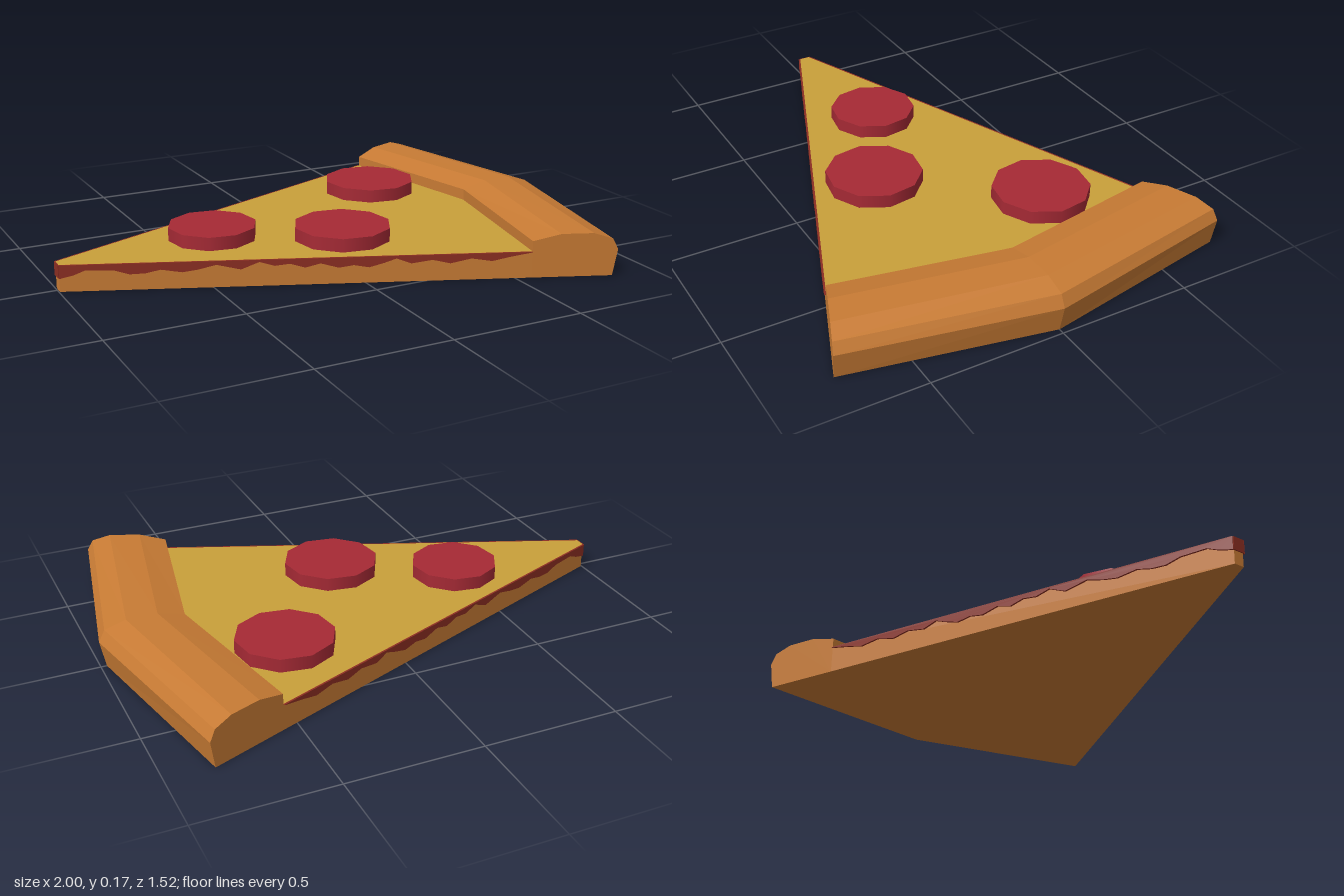
import * as THREE from 'three';

const mat = (name, color, extra = {}) => {
  const m = new THREE.MeshStandardMaterial({ color, ...extra });
  m.name = name;
  return m;
};

const TIP_X = -0.996, TIP_Z = 0.02, SLOPE = 0.402;
const ANGLE = Math.atan(SLOPE);
const sideZ = (x) => TIP_Z + SLOPE * (x - TIP_X); // half width of the slice at x

export function createModel() {
  const crustMat = mat('bakedCrust', 0xc87b34);
  const cheeseMat = mat('cheese', 0xc9a03a);
  const sauceMat = mat('tomatoSauce', 0x8c2e22);
  const pepperoniMat = mat('pepperoni', 0xa62a35);

  const group = new THREE.Group();
  const add = (name, geometry, material) => {
    const mesh = new THREE.Mesh(geometry, material);
    mesh.name = name;
    group.add(mesh);
    return mesh;
  };

  // Slice outline: blunt tip, straight sides, bent edge where the crust begins
  const innerX = 0.555, innerMidX = 0.68;
  const outline = new THREE.Shape([
    [TIP_X, -TIP_Z], [innerX, -sideZ(innerX)], [innerMidX, 0],
    [innerX, sideZ(innerX)], [TIP_X, TIP_Z],
  ].map(([x, y]) => new THREE.Vector2(x, y)));

  // Dough and the cheese sheet on top
  add('doughBase', new THREE.ExtrudeGeometry(outline, { depth: 0.098, bevelEnabled: false })
    .rotateX(-Math.PI / 2), crustMat);
  add('cheeseTop', new THREE.ShapeGeometry(outline)
    .rotateX(-Math.PI / 2).translate(0, 0.1, 0), cheeseMat);

  // Crust: one profile at each end and one in the middle, joined with flat faces
  const endProfile = [[innerX, 0], [innerX, 0.138], [0.65, 0.162], [0.76, 0.162],
    [0.825, 0.14], [0.845, 0.1], [0.83, 0]];
  const midProfile = [[innerMidX, 0], [innerMidX, 0.143], [0.78, 0.168], [0.895, 0.168],
    [0.975, 0.145], [0.998, 0.1], [0.978, 0]];
  const sections = [
    endProfile.map(([x, y]) => [x, y, -sideZ(x)]),
    midProfile.map(([x, y]) => [x, y, 0]),
    endProfile.map(([x, y]) => [x, y, sideZ(x)]),
  ];
  const pos = [];
  const tri = (a, b, c) => pos.push(...a, ...b, ...c);
  const n = endProfile.length;
  for (let s = 0; s < 2; s++) {
    for (let i = 0; i < n; i++) {
      const j = (i + 1) % n;
      const a = sections[s][i], b = sections[s][j];
      const c = sections[s + 1][j], d = sections[s + 1][i];
      tri(a, d, c);
      tri(a, c, b);
    }
  }
  for (let i = 1; i < n - 1; i++) {
    tri(sections[0][0], sections[0][i], sections[0][i + 1]);
    tri(sections[2][0], sections[2][i + 1], sections[2][i]);
  }
  const crustGeo = new THREE.BufferGeometry();
  crustGeo.setAttribute('position', new THREE.Float32BufferAttribute(pos, 3));
  crustGeo.computeVertexNormals();
  add('crust', crustGeo, crustMat);

  // Sauce dripping down both cut sides: [x, lower edge height]
  const drips = [[-0.996, 0.05], [-0.95, 0.062], [-0.91, 0.08], [-0.82, 0.076], [-0.77, 0.06],
    [-0.72, 0.062], [-0.67, 0.074], [-0.6, 0.062], [-0.55, 0.07], [-0.49, 0.086], [-0.41, 0.066],
    [-0.35, 0.092], [-0.3, 0.076], [-0.25, 0.082], [-0.2, 0.066], [-0.15, 0.08], [-0.09, 0.062],
    [-0.04, 0.07], [0.01, 0.06], [0.06, 0.075], [0.1, 0.09], [0.15, 0.07], [0.22, 0.081],
    [0.28, 0.066], [0.35, 0.082], [0.42, 0.07], [0.48, 0.084], [innerX, 0.098]];
  const along = (x) => (x - TIP_X) / Math.cos(ANGLE);
  const dripShape = new THREE.Shape([
    ...drips.map(([x, y]) => new THREE.Vector2(along(x), y)),
    new THREE.Vector2(along(innerX), 0.0995), new THREE.Vector2(0, 0.0995),
  ]);
  const depth = 0.007;
  for (const side of [1, -1]) {
    const geo = new THREE.ExtrudeGeometry(dripShape, { depth, bevelEnabled: false });
    if (side < 0) geo.translate(0, 0, -depth);
    const drip = add(side > 0 ? 'frontSauce' : 'backSauce', geo, sauceMat);
    drip.position.set(TIP_X, 0, side * TIP_Z);
    drip.rotation.y = -side * ANGLE;
  }
  add('tipSauce', new THREE.BoxGeometry(0.008, 0.049, 0.046)
    .translate(TIP_X, 0.075, 0), sauceMat);

  // Ten-sided pepperoni: [x, z, radius]
  [[-0.4, -0.025, 0.165], [0.027, 0.19, 0.181], [0.41, -0.295, 0.181]].forEach(([x, z, r], i) => {
    const disc = add(`pepperoni${i + 1}`,
      new THREE.CylinderGeometry(r, r, 0.052, 10, 1, false, Math.PI / 20), pepperoniMat);
    disc.position.set(x, 0.124, z);
  });

  return group;
}
